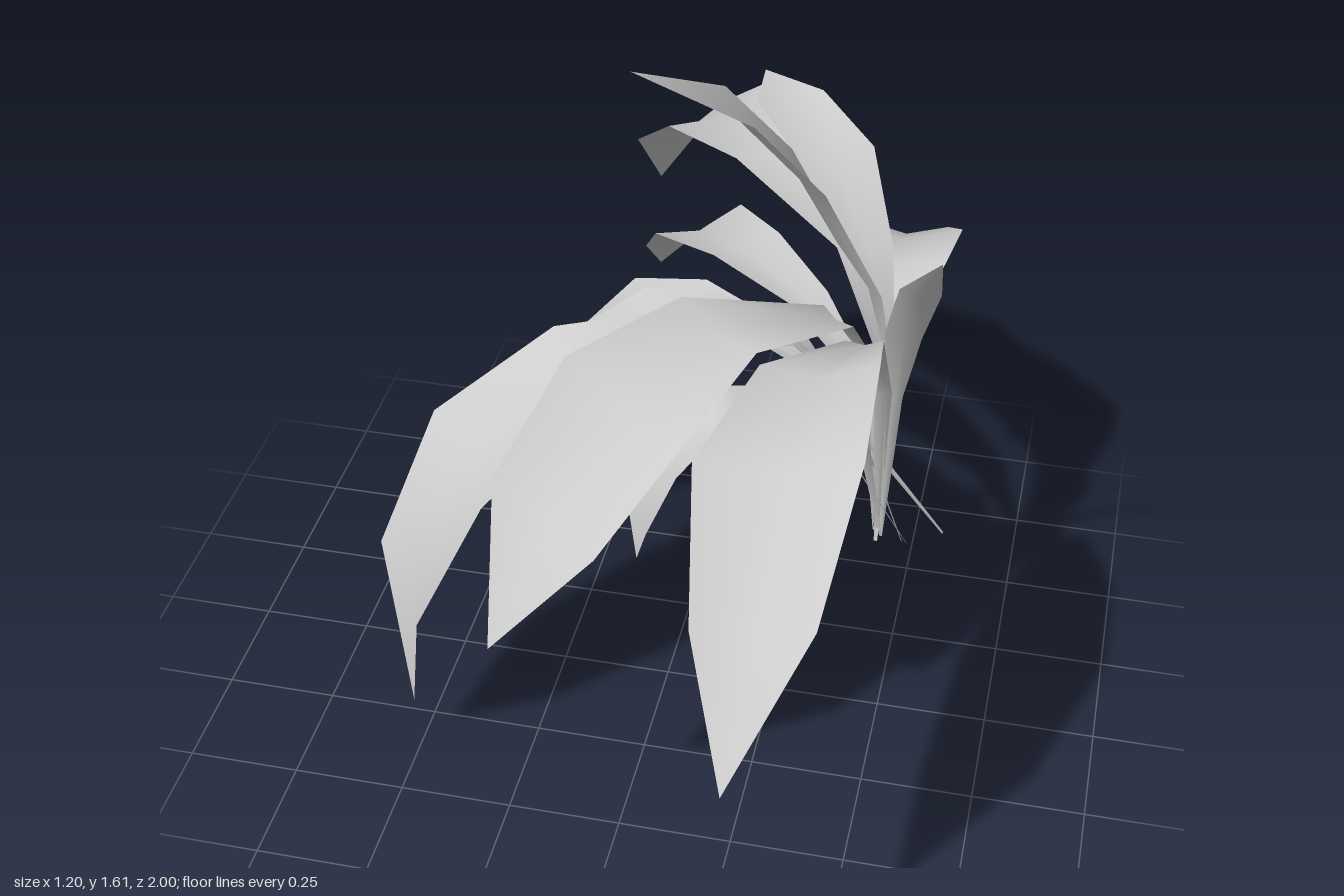
import * as THREE from 'three';

const leafGrey = new THREE.MeshStandardMaterial({ color: 0xcccccc, side: THREE.DoubleSide });
leafGrey.name = 'leafGrey';

const FOLD = 0.24; // depth of the midrib below the edges, relative to the half width

// A leaf blade: stations [x, y, z, halfWidth] run from root to tip, each spread
// along the blade's sideways direction and folded down along the midrib.
function leaf(name, side, stations) {
  const centres = stations.map(([x, y, z]) => new THREE.Vector3(x, y, z));
  const last = centres.length - 1;
  const across = new THREE.Vector3(...side).normalize();
  const chord = centres[last].clone().sub(centres[0]);
  if (chord.z * across.x - chord.x * across.z < 0) across.negate(); // upper face looks up

  const positions = [];
  const index = [];
  centres.forEach((centre, i) => {
    const w = stations[i][3];
    const tangent = centres[Math.min(i + 1, last)].clone().sub(centres[Math.max(i - 1, 0)]);
    const normal = tangent.cross(across).normalize();
    const left = centre.clone().addScaledVector(across, -w);
    const midrib = centre.clone().addScaledVector(normal, -w * FOLD);
    const right = centre.clone().addScaledVector(across, w);
    if (i === last) {
      positions.push(...centre); // the tip closes to a point
      const a = 3 * i - 3;
      index.push(a, a + 3, a + 1, a + 1, a + 3, a + 2);
      return;
    }
    positions.push(...left, ...midrib, ...right);
    if (i === 0) return;
    for (const a of [3 * i - 3, 3 * i - 2]) index.push(a, a + 3, a + 1, a + 1, a + 3, a + 4);
  });
  const geometry = new THREE.BufferGeometry();
  geometry.setAttribute('position', new THREE.Float32BufferAttribute(positions, 3));
  geometry.setIndex(index);
  geometry.computeVertexNormals();
  const mesh = new THREE.Mesh(geometry, leafGrey);
  mesh.name = name;
  return mesh;
}

export function createModel() {
  const plant = new THREE.Group();
  plant.name = 'leafyPlant';
  plant.add(
    // Long arching leaves towards the front
    leaf('frontLeaf', [1, 0.1, -0.08], [
      [0.45, 0.35, -0.2, 0.004], [0.45, 0.8, -0.14, 0.02], [0.42, 1.03, 0, 0.04],
      [0.365, 1.14, 0.26, 0.12], [0.335, 1.11, 0.55, 0.165], [0.34, 0.91, 0.81, 0.12], [0.32, 0.66, 1, 0]]),
    leaf('frontRightLeaf', [0.87, -0.27, 0.43], [
      [0.46, 0.36, -0.2, 0.004], [0.44, 0.85, -0.14, 0.02], [0.36, 1.07, -0.02, 0.04],
      [0.15, 1.17, 0.21, 0.1], [0, 1.1, 0.41, 0.155], [-0.115, 0.94, 0.61, 0.135], [-0.21, 0.67, 0.71, 0]]),
    leaf('rightFrontLeaf', [0.55, -0.06, 0.83], [
      [0.44, 0.35, -0.22, 0.004], [0.41, 0.75, -0.17, 0.02], [0.24, 0.95, -0.1, 0.04], [0.05, 1, 0, 0.08],
      [-0.18, 0.96, 0.11, 0.13], [-0.405, 0.77, 0.25, 0.17], [-0.525, 0.48, 0.345, 0.14], [-0.51, 0.14, 0.35, 0]]),

    // Drooping leaves on the right
    leaf('rightLeaf', [0.12, 0, 1], [
      [0.51, 0.34, -0.2, 0.004], [0.38, 0.7, -0.2, 0.015], [0.25, 0.9, -0.18, 0.04], [0.05, 0.94, -0.16, 0.09],
      [-0.1, 0.91, -0.15, 0.12], [-0.235, 0.8, -0.14, 0.125], [-0.3, 0.6, -0.12, 0.095], [-0.29, 0.34, -0.12, 0]]),
    leaf('rightBackLeaf', [0.15, 0, -1], [
      [0.6, 0.35, -0.24, 0.004], [0.4, 0.63, -0.21, 0.012], [0.27, 0.77, -0.25, 0.025], [0.12, 0.83, -0.31, 0.05],
      [-0.02, 0.84, -0.35, 0.09], [-0.215, 0.76, -0.41, 0.12], [-0.375, 0.55, -0.45, 0.14],
      [-0.46, 0.29, -0.46, 0.115], [-0.4, 0.01, -0.43, 0]]),

    // Short lower leaves
    leaf('lowerRightLeaf', [0.5, -0.15, 0.86], [
      [0.52, 0.34, -0.2, 0.004], [0.32, 0.72, -0.14, 0.015], [0.18, 0.8, -0.05, 0.05],
      [0.09, 0.8, 0, 0.075], [0, 0.71, 0.05, 0.09], [-0.06, 0.55, 0.07, 0.08], [-0.06, 0.4, 0.06, 0]]),
    leaf('lowerFrontLeaf', [0.9, 0, 0.4], [
      [0.46, 0.35, -0.2, 0.004], [0.4, 0.75, -0.12, 0.02], [0.32, 0.89, 0.03, 0.04],
      [0.25, 0.91, 0.2, 0.07], [0.22, 0.82, 0.29, 0.08], [0.21, 0.72, 0.33, 0.06], [0.21, 0.63, 0.3, 0]]),
    leaf('lowerBackLeaf', [0.7, 0, -0.7], [
      [0.45, 0.34, -0.21, 0.004], [0.4, 0.75, -0.24, 0.02], [0.25, 0.89, -0.34, 0.05],
      [0.08, 0.93, -0.47, 0.09], [-0.06, 0.9, -0.6, 0.12], [-0.13, 0.79, -0.69, 0.09], [-0.18, 0.68, -0.73, 0]]),

    // Leaves arching to the back
    leaf('backRightLeaf', [0.7, 0.12, -0.7], [
      [0.45, 0.35, -0.2, 0.004], [0.44, 0.85, -0.22, 0.02], [0.35, 1.08, -0.31, 0.05],
      [0.14, 1.2, -0.49, 0.11], [-0.03, 1.15, -0.72, 0.15], [-0.17, 0.98, -0.91, 0.125], [-0.24, 0.76, -1, 0]]),
    leaf('backLeaf', [1, 0.05, 0], [
      [0.45, 0.34, -0.19, 0.004], [0.45, 0.75, -0.25, 0.02], [0.44, 0.88, -0.36, 0.06],
      [0.42, 0.93, -0.5, 0.12], [0.415, 0.91, -0.66, 0.14], [0.405, 0.79, -0.86, 0.1], [0.4, 0.64, -0.97, 0]]),

    // Young upright leaves
    leaf('tallLeaf', [0.5, 0, 0.86], [
      [0.45, 0.35, -0.2, 0.004], [0.45, 0.85, -0.2, 0.02], [0.41, 1.05, -0.18, 0.05],
      [0.345, 1.17, -0.17, 0.085], [0.265, 1.33, -0.15, 0.1], [0.135, 1.52, -0.055, 0.09], [-0.07, 1.62, 0.03, 0]]),
    leaf('upperBackLeaf', [0.9, 0.06, -0.4], [
      [0.45, 0.35, -0.2, 0.004], [0.44, 0.9, -0.22, 0.02], [0.39, 1.08, -0.27, 0.05],
      [0.29, 1.255, -0.37, 0.085], [0.165, 1.31, -0.5, 0.075], [0.08, 1.28, -0.66, 0]]),
    leaf('smallLeftLeaf', [0.85, -0.3, -0.4], [
      [0.46, 0.35, -0.2, 0.004], [0.47, 0.75, -0.2, 0.02], [0.485, 0.95, -0.15, 0.045],
      [0.52, 1.1, -0.1, 0.05], [0.57, 1.24, 0, 0]]),
  );
  return plant;
}
